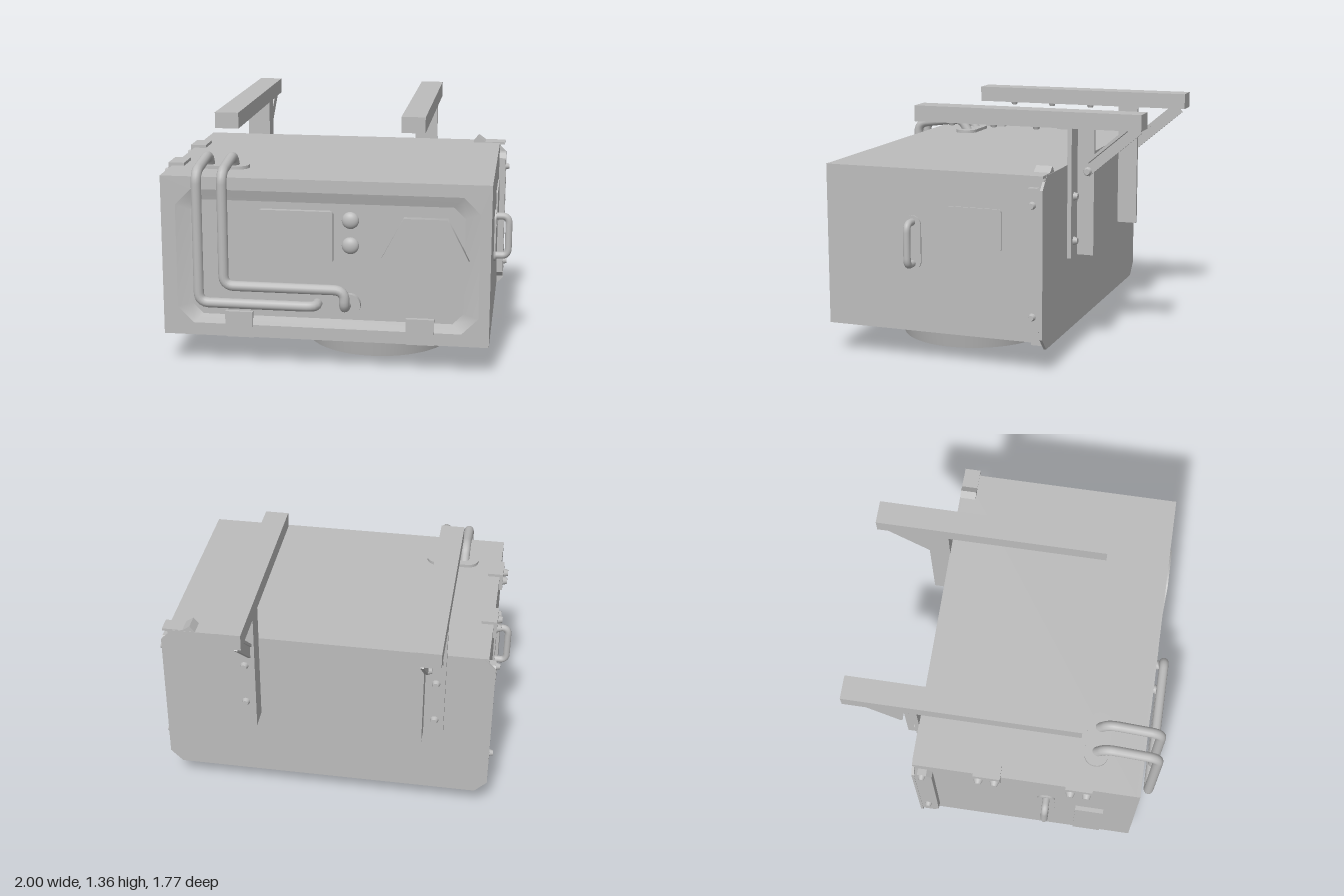
import * as THREE from 'three';
import { RoundedBoxGeometry } from 'three/addons/geometries/RoundedBoxGeometry.js';

const V = (x, y, z) => new THREE.Vector3(x, y, z);

export function createModel() {
  const model = new THREE.Group();
  const gray = new THREE.MeshStandardMaterial({ color: 0xbcbcbc });
  const grayTwoSided = new THREE.MeshStandardMaterial({ color: 0xbcbcbc, side: THREE.DoubleSide });
  gray.name = 'gray metal';
  grayTwoSided.name = 'gray sheet metal';

  const add = (name, geo, x = 0, y = 0, z = 0, parent = model, mat = gray) => {
    const m = new THREE.Mesh(geo, mat);
    m.name = name;
    m.position.set(x, y, z);
    parent.add(m);
    return m;
  };
  // Box given by its minimum and maximum on each axis
  const span = (name, x0, x1, y0, y1, z0, z1, parent) =>
    add(name, new THREE.BoxGeometry(x1 - x0, y1 - y0, z1 - z0), (x0 + x1) / 2, (y0 + y1) / 2, (z0 + z1) / 2, parent);
  const octagon = (x0, x1, y0, y1, c) => [
    [x0 + c, y0], [x1 - c, y0], [x1, y0 + c], [x1, y1 - c],
    [x1 - c, y1], [x0 + c, y1], [x0, y1 - c], [x0, y0 + c],
  ].map(([x, y]) => new THREE.Vector2(x, y));
  const extrude = (shape, depth) => new THREE.ExtrudeGeometry(shape, { depth, bevelEnabled: false, curveSegments: 12 });
  // Rounded plate in the xy plane, centred, rising along +z
  const roundedPlate = (w, h, r, depth) => {
    const s = new THREE.Shape();
    s.moveTo(w / 2, -h / 2 + r);
    s.absarc(w / 2 - r, h / 2 - r, r, 0, Math.PI / 2);
    s.absarc(-w / 2 + r, h / 2 - r, r, Math.PI / 2, Math.PI);
    s.absarc(-w / 2 + r, -h / 2 + r, r, Math.PI, Math.PI * 1.5);
    s.absarc(w / 2 - r, -h / 2 + r, r, Math.PI * 1.5, Math.PI * 2);
    return extrude(s, depth);
  };
  // Pipe through points with rounded corners
  const pipe = (name, pts, radius, bend, parent = model) => {
    const path = new THREE.CurvePath();
    let last = pts[0];
    for (let i = 1; i < pts.length - 1; i++) {
      const p = pts[i];
      const reach = (q) => p.clone().add(q.clone().sub(p).setLength(Math.min(bend, p.distanceTo(q) * 0.48)));
      const a = reach(pts[i - 1]), b = reach(pts[i + 1]);
      path.add(new THREE.LineCurve3(last, a));
      path.add(new THREE.QuadraticBezierCurve3(a, p, b));
      last = b;
    }
    path.add(new THREE.LineCurve3(last, pts[pts.length - 1]));
    return add(name, new THREE.TubeGeometry(path, 110, radius, 14, false), 0, 0, 0, parent, grayTwoSided);
  };
  // Round-headed bolt pointing along a direction
  const bolt = (x, y, z, dir, r = 0.022, parent = model) => {
    const g = new THREE.CylinderGeometry(r * 0.65, r, 0.025, 12);
    add('bolt', g, x, y, z, parent).quaternion.setFromUnitVectors(V(0, 1, 0), dir);
  };

  // Cabinet with a shallow sloped recess in the front
  span('cabinetBody', -0.9, 0.9, 0.17, 1.07, -0.48, 0.76);
  const outer = octagon(-0.82, 0.84, 0.24, 1.0, 0.09);
  const inner = octagon(-0.74, 0.76, 0.29, 0.94, 0.06);
  const frame = new THREE.Shape([[-0.9, 0.17], [0.9, 0.17], [0.9, 1.07], [-0.9, 1.07]].map((p) => new THREE.Vector2(...p)));
  frame.holes.push(new THREE.Path(outer));
  add('frontFrame', extrude(frame, 0.02), 0, 0, 0.76);
  const pos = [], idx = [];
  for (let i = 0; i < 8; i++) {
    const j = (i + 1) % 8;
    pos.push(outer[i].x, outer[i].y, 0.78, inner[i].x, inner[i].y, 0.761);
    idx.push(i * 2, j * 2, i * 2 + 1, j * 2, j * 2 + 1, i * 2 + 1);
  }
  const slope = new THREE.BufferGeometry();
  slope.setAttribute('position', new THREE.Float32BufferAttribute(pos, 3));
  slope.setIndex(idx);
  slope.computeVertexNormals();
  add('recessSlope', slope, 0, 0, 0, model, grayTwoSided);

  // Front fittings
  add('displayPanel', roundedPlate(0.41, 0.29, 0.02, 0.03), -0.155, 0.755, 0.76);
  for (const y of [0.85, 0.71]) {
    const b = add('button', new THREE.SphereGeometry(0.047, 24, 12, 0, Math.PI * 2, 0, Math.PI / 2), 0.142, y, 0.76);
    b.rotation.x = Math.PI / 2;
    b.scale.y = 0.65;
  }
  const hex = add('hexagonCover', new THREE.CylinderGeometry(0.235, 0.235, 0.04, 6).rotateY(Math.PI / 6).rotateX(Math.PI / 2), 0.55, 0.655, 0.78);
  hex.geometry.rotateZ(0);
  hex.scale.y = 1.1;
  for (const x of [-0.475, 0.525]) {
    span('lowerHingeFront', x - 0.077, x + 0.077, 0.23, 0.315, 0.76, 0.785);
    span('lowerHingeBottom', x - 0.077, x + 0.077, 0.16, 0.17, 0.65, 0.76);
  }

  // Two pipes running from the front to the top
  add('frontPipePlate', roundedPlate(0.3, 0.125, 0.06, 0.03), 0.05, 0.38, 0.76);
  add('topPipePlate', roundedPlate(0.305, 0.13, 0.062, 0.018).rotateX(-Math.PI / 2), -0.61, 1.07, 0.513);
  const pipeTop = (x) => [V(x, 1.11, 0.855), V(x, 1.15, 0.56), V(x, 1.07, 0.51)];
  pipe('outerPipe', [V(-0.035, 0.385, 0.77), V(-0.035, 0.385, 0.855), V(-0.68, 0.385, 0.855), ...pipeTop(-0.68)], 0.028, 0.06);
  pipe('innerPipe', [V(0.122, 0.38, 0.77), V(0.122, 0.38, 0.855), V(0.122, 0.485, 0.855), V(-0.54, 0.485, 0.855), ...pipeTop(-0.54)], 0.028, 0.06);

  // Side handles and plates
  for (const s of [1, -1]) {
    const side = new THREE.Group();
    side.name = s > 0 ? 'leftHandle' : 'rightHandle';
    model.add(side);
    add('handlePlate', roundedPlate(0.1, 0.3, 0.05, 0.01).rotateY(s * Math.PI / 2), s * 0.9, 0.665, 0.27, side);
    pipe('handleGrip', [V(s * 0.9, 0.55, 0.27), V(s * 0.98, 0.55, 0.27), V(s * 0.98, 0.78, 0.27), V(s * 0.9, 0.78, 0.27)], 0.02, 0.045, side);
  }
  add('leftSidePlate', roundedPlate(0.315, 0.23, 0.015, 0.009).rotateY(Math.PI / 2), 0.9, 0.765, -0.083);
  span('rightSidePlate', -0.925, -0.9, 0.25, 0.68, 0.44, 0.6);

  // Rear plate with flanges folded along the sides and bottom
  add('rearPlate', extrude(new THREE.Shape(octagon(-0.94, 0.94, 0.13, 1.07, 0.07)), 0.015), 0, 0, -0.482);
  for (const s of [1, -1]) {
    const strip = octagon(-0.055, 0.055, 0.23, 1.01, 0.03);
    add('sideFlange', extrude(new THREE.Shape(strip), 0.038).rotateY(s * Math.PI / 2), s * 0.9, 0, -0.425);
    for (const y of s > 0 ? [0.92, 0.32] : [0.99, 0.38]) bolt(s * 0.948, y, -0.425, V(s, 0, 0));
  }
  span('bottomFlange', -0.82, 0.82, 0.13, 0.17, -0.48, -0.38);
  for (const x of [-0.65, 0, 0.65]) bolt(x, 0.118, -0.425, V(0, -1, 0));
  // Corner catch
  const catchShape = new THREE.Shape([[0.74, 1.07], [0.82, 1.07], [0.77, 1.105]].map((p) => new THREE.Vector2(...p)));
  add('cornerCatch', extrude(catchShape, 0.09), 0, 0, -0.48);
  span('cornerCatchPlate', 0.81, 0.93, 1.06, 1.075, -0.48, -0.39);

  // Upper hinges on the right edge
  for (const z of [-0.065, 0.445]) {
    span('upperHingeTop', -0.92, -0.83, 1.07, 1.087, z - 0.075, z + 0.075);
    span('upperHingeSide', -0.92, -0.9, 0.98, 1.07, z - 0.075, z + 0.075);
    for (const dz of [-0.045, 0.045]) bolt(-0.933, 1.03, z + dz, V(-1, 0, 0), 0.026);
  }

  // Mounting brackets: rail, angle post and diagonal brace, flange on the inner side
  for (const [cx, s] of [[-0.605, 1], [0.445, -1]]) {
    const bracket = new THREE.Group();
    bracket.name = 'mountingBracket';
    bracket.position.x = cx;
    model.add(bracket);
    span('rail', -0.067, 0.067, 1.27, 1.36, -0.89, 0.42, bracket);
    for (const z of [0.22, -0.03, -0.28]) bolt(0, 1.262, z, V(0, -1, 0), 0.025, bracket);
    span('postPlate', -0.067, 0.067, 0.55, 1.27, -0.505, -0.48, bracket);
    const fx = s * 0.056;
    span('postFlange', fx - 0.011, fx + 0.011, 0.55, 1.27, -0.6, -0.48, bracket);
    for (const y of [0.89, 0.64]) bolt(-s * 0.015, y, -0.515, V(0, 0, -1), 0.025, bracket);
    const brace = new THREE.Group();
    brace.name = 'diagonalBrace';
    brace.position.set(0, 1.145, -0.695);
    brace.rotation.x = Math.atan2(0.255, 0.3);
    bracket.add(brace);
    span('braceFlange', s * 0.034 - 0.01, s * 0.034 + 0.01, -0.035, 0.035, -0.2, 0.19, brace);
    span('bracePlate', -0.055, 0.045, 0.02, 0.035, -0.18, 0.13, brace);
    bolt(s * 0.015, 1.025, -0.57, V(-s, 0, 0), 0.026, bracket);
  }

  // Underside panels
  const base = new THREE.Shape(octagon(-0.25, 0.73, -0.66, 0.34, 0.1));
  add('fanBasePlate', extrude(base, 0.018).rotateX(-Math.PI / 2), 0, 0.153, 0);
  span('undersidePlate', -0.8, -0.3, 0.158, 0.17, 0.4, 0.55);
  for (const z of [-0.06, 0.04]) {
    pipe('undersidePipe', [V(-0.12, 0.115, z), V(-0.39, 0.115, z), V(-0.39, 0.17, z)], 0.027, 0.05);
  }

  // Fan in a tapered open ring
  const fan = new THREE.Group();
  fan.name = 'fan';
  fan.position.set(0.24, 0, 0.16);
  model.add(fan);
  const ring = [[0.45, 0.155], [0.42, 0.02], [0.42, 0.02], [0.385, 0.02], [0.385, 0.02], [0.355, 0.06], [0.34, 0.15]];
  add('fanHousing', new THREE.LatheGeometry(ring.map((p) => new THREE.Vector2(...p)), 64), 0, 0, 0, fan, grayTwoSided);
  for (const r of [0.16, 0.225, 0.29, 0.35]) {
    add('grilleRing', new THREE.TorusGeometry(r, 0.007, 8, 48).rotateX(Math.PI / 2), 0, 0.03, 0, fan);
  }
  for (let i = 0; i < 10; i++) {
    const spoke = add('grilleSpoke', new THREE.CylinderGeometry(0.006, 0.006, 0.28, 8).rotateZ(Math.PI / 2).translate(0.24, 0, 0), 0, 0.025, 0, fan);
    spoke.rotation.y = (i / 10) * Math.PI * 2;
  }
  for (let i = 0; i < 7; i++) {
    const blade = add('fanBlade', new THREE.BoxGeometry(0.24, 0.008, 0.13).rotateX(0.5).translate(0.2, 0, 0), 0, 0.1, 0, fan);
    blade.rotation.y = (i / 7) * Math.PI * 2;
  }
  add('fanHub', new THREE.CylinderGeometry(0.1, 0.1, 0.1, 32), 0, 0.1, 0, fan);
  add('grilleHub', new THREE.CylinderGeometry(0.11, 0.09, 0.02, 32), 0, 0.01, 0, fan);

  return model;
}
